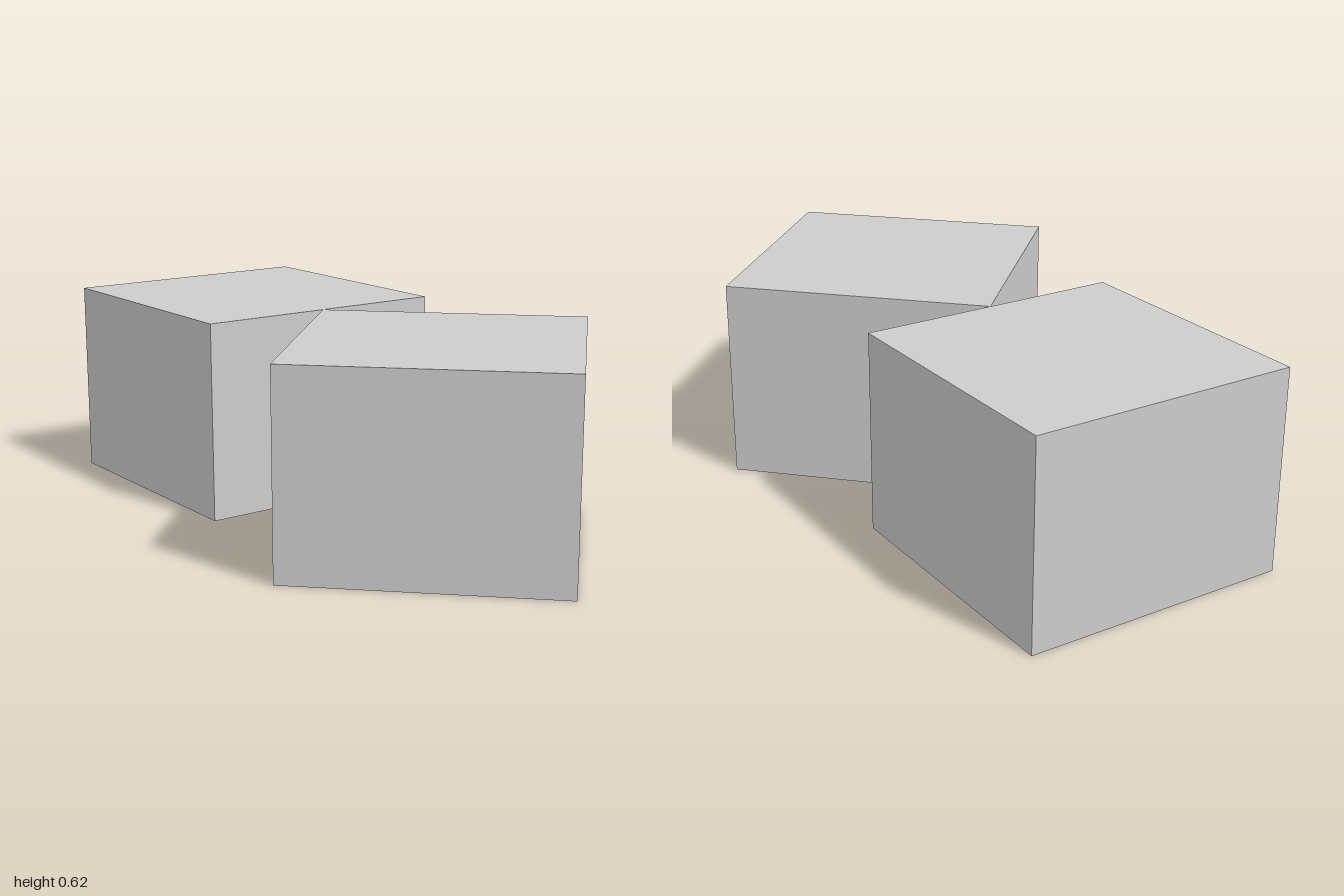
import * as THREE from 'three';

export function createModel() {
  const model = new THREE.Group();
  const grey = new THREE.MeshStandardMaterial({ color: 0xcccccc });
  grey.name = 'light grey';

  const side = 0.8284; // square footprint
  const height = 0.6213;
  const geometry = new THREE.BoxGeometry(side, height, side);

  function addBlock(name, x, turn) {
    const block = new THREE.Mesh(geometry, grey);
    block.name = name;
    block.position.set(x, height / 2, 0);
    block.rotation.y = turn;
    model.add(block);
  }

  // Straight block, touching the corner of a block turned by 45 degrees
  addBlock('straightBlock', -1 + side / 2, 0);
  addBlock('turnedBlock', 1 - side * Math.SQRT1_2, Math.PI / 4);

  return model;
}
